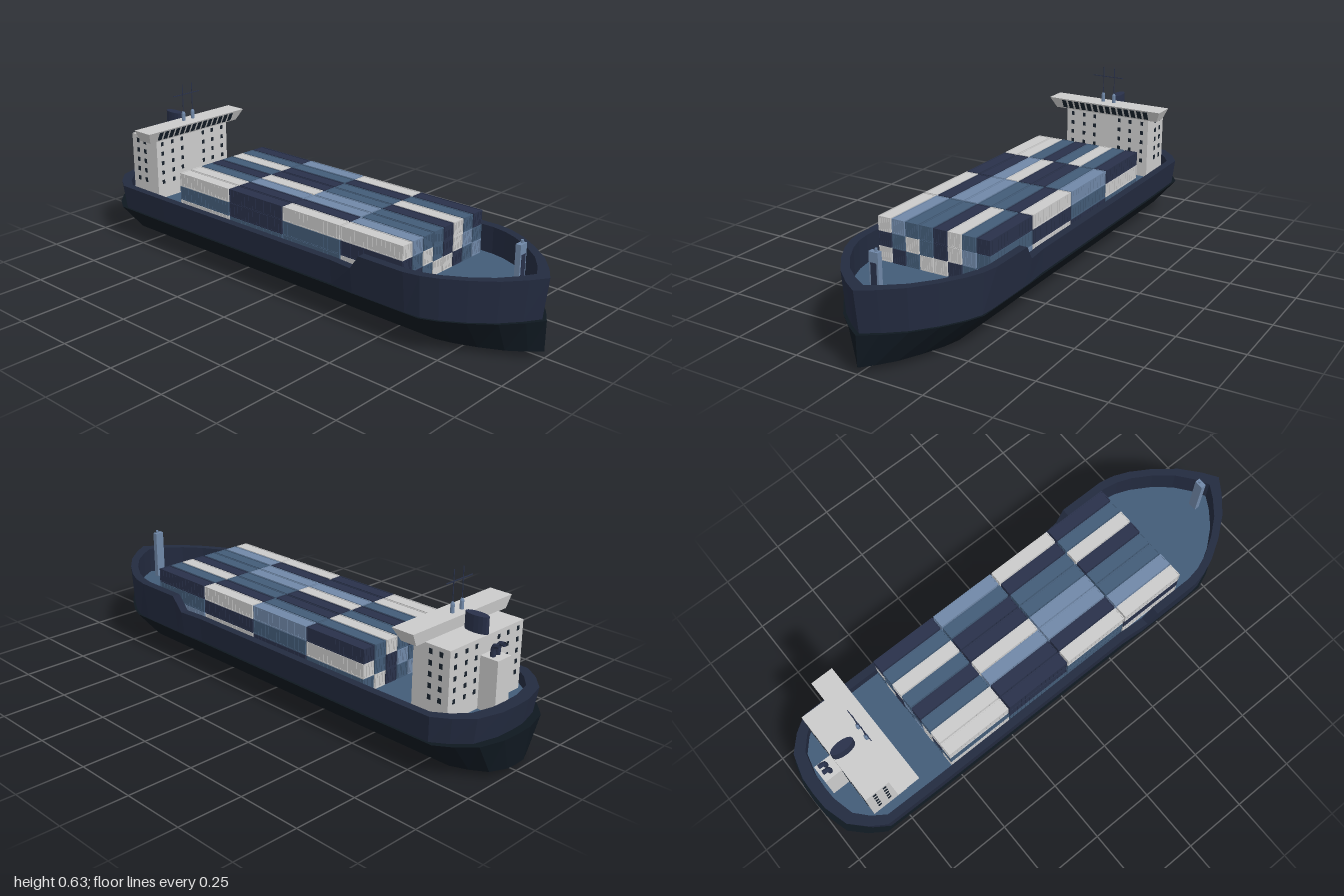
import * as THREE from 'three';
import { mergeGeometries } from 'three/addons/utils/BufferGeometryUtils.js';

const mat = (color, extra = {}) => new THREE.MeshStandardMaterial({ color, flatShading: true, ...extra });
const WHITE = mat(0xcccccc), NAVY = mat(0x29314a), BLUE = mat(0x435c78), PALE = mat(0x7088a8);
const HULL = mat(0x232b40), KEEL = mat(0x0f1820), GLASS = mat(0x17212c);
const DECK_Y = 0.185;

function add(parent, name, geometry, material, x = 0, y = 0, z = 0) {
  const m = new THREE.Mesh(geometry, material);
  m.name = name;
  m.position.set(x, y, z);
  parent.add(m);
  return m;
}
// Box given by its limits on each axis
function block(parent, name, material, x0, x1, y0, y1, z0, z1) {
  return add(parent, name, new THREE.BoxGeometry(x1 - x0, y1 - y0, z1 - z0), material,
    (x0 + x1) / 2, (y0 + y1) / 2, (z0 + z1) / 2);
}

// Half plan of the rail from stern to bow: x, half width, rail height
const PLAN = [
  [-0.985, 0, 0.23], [-0.982, 0.07, 0.23], [-0.955, 0.165, 0.23], [-0.9, 0.222, 0.23], [-0.84, 0.262, 0.23],
  [-0.6, 0.265, 0.23], [0.29, 0.265, 0.23], [0.39, 0.274, 0.23], [0.43, 0.28, 0.287], [0.62, 0.28, 0.287],
  [0.68, 0.268, 0.287], [0.74, 0.243, 0.287], [0.82, 0.194, 0.287], [0.9, 0.13, 0.287], [0.96, 0.06, 0.287], [1, 0, 0.287],
];
// Closed ring around the ship, from a rule applied to the half plan
function ring(rule) {
  const half = PLAN.map(([x, z, rail]) => rule(x, z, rail));
  const mirrored = half.slice(1, -1).reverse().map(([x, y, z]) => [x, y, -z]);
  return [...half, ...mirrored];
}
function loft(rings) {
  const p = [];
  for (let r = 0; r + 1 < rings.length; r++) {
    const a = rings[r], b = rings[r + 1], n = a.length;
    for (let i = 0; i < n; i++) {
      const j = (i + 1) % n;
      p.push(...a[i], ...a[j], ...b[j], ...a[i], ...b[j], ...b[i]);
    }
  }
  const g = new THREE.BufferGeometry();
  g.setAttribute('position', new THREE.Float32BufferAttribute(p, 3));
  g.computeVertexNormals();
  return g;
}

function buildHull(ship) {
  const aft = (x) => (x < -0.8 ? x - 0.015 : x);
  const inset = (x, d) => x - d * x ** 5;
  const inner = (x, z, y) => [inset(x, 0.05), y, z * 0.885];
  const waterline = ring((x, z) => [inset(x, 0.018), 0.135, Math.min(z * 0.965, 0.263)]);
  add(ship, 'lowerHull', loft([
    ring((x) => [x * 0.6, 0, 0]),
    ring((x, z) => [x * 0.6, 0, Math.min(z, 0.265) * 0.38]),
    ring((x, z) => [aft(x) * 0.998, 0.023, Math.min(z, 0.267) * 0.63]),
    ring((x, z) => [aft(x) * 0.999, 0.135, Math.min(z, 0.267)]),
    waterline,
  ]), KEEL);
  add(ship, 'upperHull', loft([
    waterline,
    ring((x, z, rail) => [x, rail, z]),
    ring((x, z, rail) => inner(x, z, rail)),
    ring((x, z) => inner(x, z, DECK_Y)),
  ]), HULL);
  add(ship, 'deck', loft([
    ring((x, z) => inner(x, z, DECK_Y)),
    ring((x, z) => inner(x, 0, DECK_Y)),
  ]), BLUE);
}

// Corrugated container centred on its base
function containerGeometry(L, H, W) {
  const parts = [];
  const bar = (w, h, d, x, y, z) => parts.push(new THREE.BoxGeometry(w, h, d).translate(x, y, z));
  const t = 0.004;
  bar(L - t, H - t, W - t, 0, H / 2, 0);
  for (const s of [-1, 1]) {
    for (const y of [t / 2, H - t / 2]) {
      bar(L, t, t, 0, y, s * (W - t) / 2);
      bar(t, t, W, s * (L - t) / 2, y, 0);
    }
    for (const e of [-1, 1]) bar(t, H, t, e * (L - t) / 2, H / 2, s * (W - t) / 2);
    for (let i = 1; i < 14; i++) bar(0.008, H - t, 0.002, (i / 14 - 0.5) * L, H / 2, s * (W / 2 - 0.0018));
    for (let i = 1; i < 6; i++) bar(0.002, H - t, 0.004, s * (L / 2 - 0.0018), H / 2, (i / 6 - 0.5) * W);
  }
  return mergeGeometries(parts);
}

function buildCargo(ship) {
  const cargo = new THREE.Group();
  cargo.name = 'cargo';
  ship.add(cargo);
  const paint = { w: WHITE, n: NAVY, b: BLUE, p: PALE };
  // One word per bay, one letter per row from -z to +z
  const tiers = [
    ['bwnbpwbw', 'nbwpbnwb', 'wnbbwpnb', 'pbnwwbnw'],
    ['wbnpbwnb', 'bnwbpbwn', 'nwbpnbwb', 'bpwnbwbn'],
    ['nbwbnbww', 'pbnnwpnn', 'wnbbppnw', 'nbwnbbpw'],
  ];
  const geo = containerGeometry(0.271, 0.054, 0.052);
  tiers.forEach((bays, t) => bays.forEach((rows, b) => [...rows].forEach((c, r) => {
    add(cargo, 'container', geo, paint[c], -0.39 + b * 0.2775, DECK_Y + t * 0.055, (r - 3.5) * 0.0575);
  })));
}

function buildDeckhouse(ship) {
  const house = new THREE.Group();
  house.name = 'deckhouse';
  ship.add(house);
  block(house, 'accommodation', WHITE, -0.855, -0.705, DECK_Y, 0.436, -0.19, 0.19);
  block(house, 'exhaustCasing', WHITE, -0.925, -0.855, DECK_Y, 0.375, -0.035, 0.035);

  // Windows on all four walls
  for (const y of [0.253, 0.293, 0.333, 0.373, 0.413]) {
    for (const s of [-1, 1]) {
      for (const z of [0.058, 0.108, 0.162])
        for (const x of [-0.855, -0.705])
          add(house, 'window', new THREE.BoxGeometry(0.003, 0.016, 0.012), GLASS, x, y, s * z);
      for (const x of [-0.82, -0.777])
        add(house, 'window', new THREE.BoxGeometry(0.014, 0.018, 0.003), GLASS, x, y, s * 0.19);
    }
  }

  // Wheelhouse flaring upward across the full beam
  const g = new THREE.BoxGeometry(1, 1, 1);
  const p = g.attributes.position;
  for (let i = 0; i < p.count; i++) {
    const top = p.getY(i) > 0;
    const front = top ? -0.667 : -0.69, back = top ? -0.757 : -0.752;
    p.setXYZ(i, p.getX(i) > 0 ? front : back, top ? 0.48 : 0.434, Math.sign(p.getZ(i)) * (top ? 0.255 : 0.233));
  }
  g.computeVertexNormals();
  add(house, 'wheelhouse', g, WHITE);
  for (let i = 0; i < 14; i++) {
    const w = add(house, 'bridgeWindow', new THREE.BoxGeometry(0.003, 0.038, 0.019), GLASS,
      -0.6785, 0.457, (i - 6.5) * 0.029);
    w.rotation.z = -0.46;
  }

  // Streamlined funnel
  const oval = new THREE.CylinderGeometry(1, 1, 0.062, 16).scale(0.047, 1, 0.019);
  add(house, 'funnel', oval, NAVY, -0.808, 0.465, 0);

  // Bent exhaust pipes
  const bend = new THREE.CatmullRomCurve3([[-0.888, 0.37], [-0.888, 0.4], [-0.893, 0.412], [-0.912, 0.416]]
    .map(([x, y]) => new THREE.Vector3(x, y, 0)));
  const pipe = new THREE.TubeGeometry(bend, 10, 0.009, 8);
  const pipeMat = mat(0x29314a, { side: THREE.DoubleSide });
  for (const z of [-0.013, 0.013]) add(house, 'exhaustPipe', pipe, pipeMat, 0, 0, z);

  // Twin aerials with a crossbar
  const foot = new THREE.LatheGeometry([[0.0075, 0], [0.0075, 0.03], [0.004, 0.038], [0, 0.039]]
    .map(([x, y]) => new THREE.Vector2(x, y)), 10);
  for (const z of [0.028, -0.021]) {
    add(house, 'aerialFoot', foot, PALE, -0.722, 0.48, z);
    add(house, 'aerial', new THREE.CylinderGeometry(0.0018, 0.0018, 0.118, 6), NAVY, -0.722, 0.571, z);
  }
  block(house, 'aerialCrossbar', NAVY, -0.7235, -0.7205, 0.587, 0.59, -0.06, 0.077);
}

function buildForemast(ship) {
  const mast = new THREE.Group();
  mast.name = 'foremast';
  ship.add(mast);
  block(mast, 'mastPost', PALE, 0.875, 0.895, DECK_Y, 0.376, -0.018, 0.018);
  block(mast, 'mastPanel', NAVY, 0.894, 0.897, DECK_Y, 0.34, -0.011, 0.011);
  add(mast, 'mastLamp', new THREE.CylinderGeometry(0.005, 0.005, 0.012, 8), PALE, 0.885, 0.381, -0.005);
}

export function createModel() {
  const ship = new THREE.Group();
  ship.name = 'containerShip';
  buildHull(ship);
  buildCargo(ship);
  buildDeckhouse(ship);
  buildForemast(ship);
  return ship;
}
